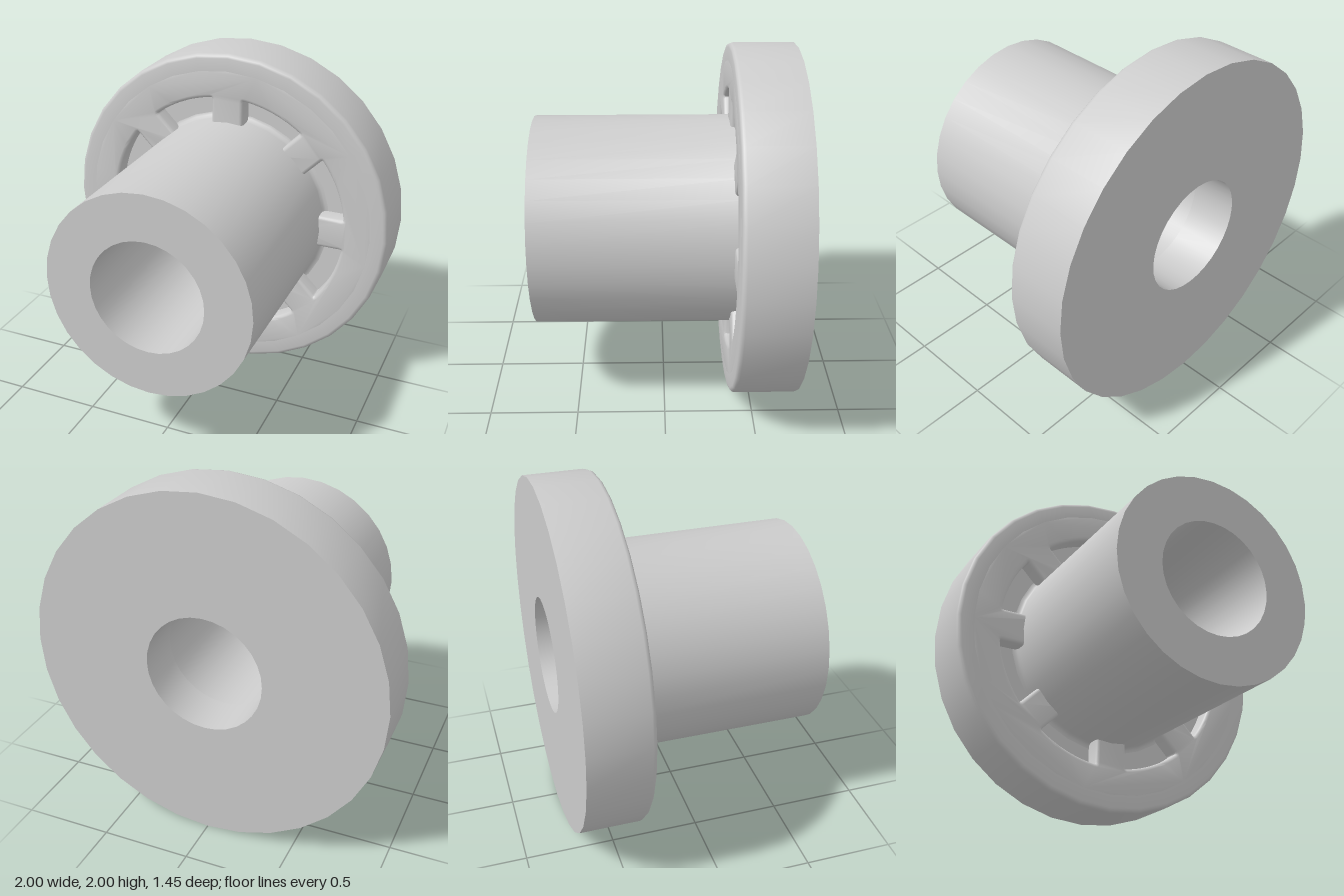
import * as THREE from 'three';
import { toCreasedNormals } from 'three/addons/utils/BufferGeometryUtils.js';

const SIDES = 32;
const BORE = 0.33, HUB = 0.595, RIM = 1, POCKET = 0.76, SEAT = 0.9;
const BACK = -0.727, FACE = -0.365, FLOOR = -0.465, FRONT = 0.725;
const material = new THREE.MeshStandardMaterial({ color: 0xcccccc });

function addPart(group, name, geometry) {
  const mesh = new THREE.Mesh(toCreasedNormals(geometry, 0.6), material);
  mesh.name = name;
  group.add(mesh);
}

// Turns a profile of [radius, z] pairs around the z axis
function turned(profile) {
  const points = profile.map(([r, z]) => new THREE.Vector2(r, z));
  return new THREE.LatheGeometry(points, SIDES).rotateX(Math.PI / 2);
}

// Quarter-round of [radius, z] pairs about a centre
function quarterRound(cr, cz, radius, from, to) {
  return [0, 1, 2, 3].map((i) => {
    const a = from + ((to - from) * i) / 3;
    return [cr + radius * Math.cos(a), cz + radius * Math.sin(a)];
  });
}

function ringPoints(radius) {
  return Array.from({ length: SIDES }, (_, i) => {
    const a = (i / SIDES) * Math.PI * 2;
    return new THREE.Vector2(radius * Math.cos(a), radius * Math.sin(a));
  });
}

// Outline of one pocket between two spokes, with rounded outer corners
function pocketPoints(angle) {
  const half = 0.075, corner = 0.035;
  const edge = Math.asin(half / POCKET);
  const start = edge + corner / POCKET;
  const mirror = (x, y) => [(x + y) * Math.SQRT1_2, (x - y) * Math.SQRT1_2];
  const tip = [POCKET * Math.cos(edge), half];
  const at = (a) => [POCKET * Math.cos(a), POCKET * Math.sin(a)];
  const s = new THREE.Shape();
  s.moveTo(0.54, half);
  s.lineTo(tip[0] - corner, half);
  s.quadraticCurveTo(...tip, ...at(start));
  s.absarc(0, 0, POCKET, start, Math.PI / 4 - start, false);
  s.quadraticCurveTo(...mirror(...tip), ...mirror(tip[0] - corner, half));
  s.lineTo(...mirror(0.54, half));
  const origin = new THREE.Vector2();
  return s.getPoints(5).map((p) => p.clone().rotateAround(origin, angle));
}

export function createModel() {
  const model = new THREE.Group();
  model.name = 'flangedBushing';
  const body = new THREE.Group();
  body.name = 'body';
  body.position.y = 1;
  model.add(body);

  // Hub tube with a small fillet where it meets the pocket floors
  addPart(body, 'hub', turned([
    ...quarterRound(HUB + 0.03, FLOOR + 0.03, 0.03, Math.PI * 1.5, Math.PI),
    [HUB, FRONT], [BORE, FRONT], [BORE, FLOOR],
  ]));

  // Flange with a rounded front rim and a recess for the spoked face
  addPart(body, 'flange', turned([
    [BORE, FLOOR], [BORE, BACK], [RIM, BACK],
    ...quarterRound(RIM - 0.025, FACE - 0.025, 0.025, 0, Math.PI / 2),
    [SEAT, FACE], [SEAT, FLOOR], [HUB, FLOOR],
  ]));

  // Front face of the flange: eight pockets divided by radial spokes
  const bevel = 0.022;
  const face = new THREE.Shape(ringPoints(SEAT));
  face.holes.push(new THREE.Path(ringPoints(0.45)));
  for (let i = 0; i < 8; i++) {
    face.holes.push(new THREE.Path(pocketPoints((i * Math.PI) / 4)));
  }
  const depth = FACE - FLOOR;
  const plate = new THREE.ExtrudeGeometry(face, {
    depth, bevelEnabled: true, bevelSize: bevel, bevelThickness: bevel, bevelSegments: 3,
  });
  plate.translate(0, 0, FACE - depth - bevel);
  addPart(body, 'spokedFace', plate);

  return model;
}
